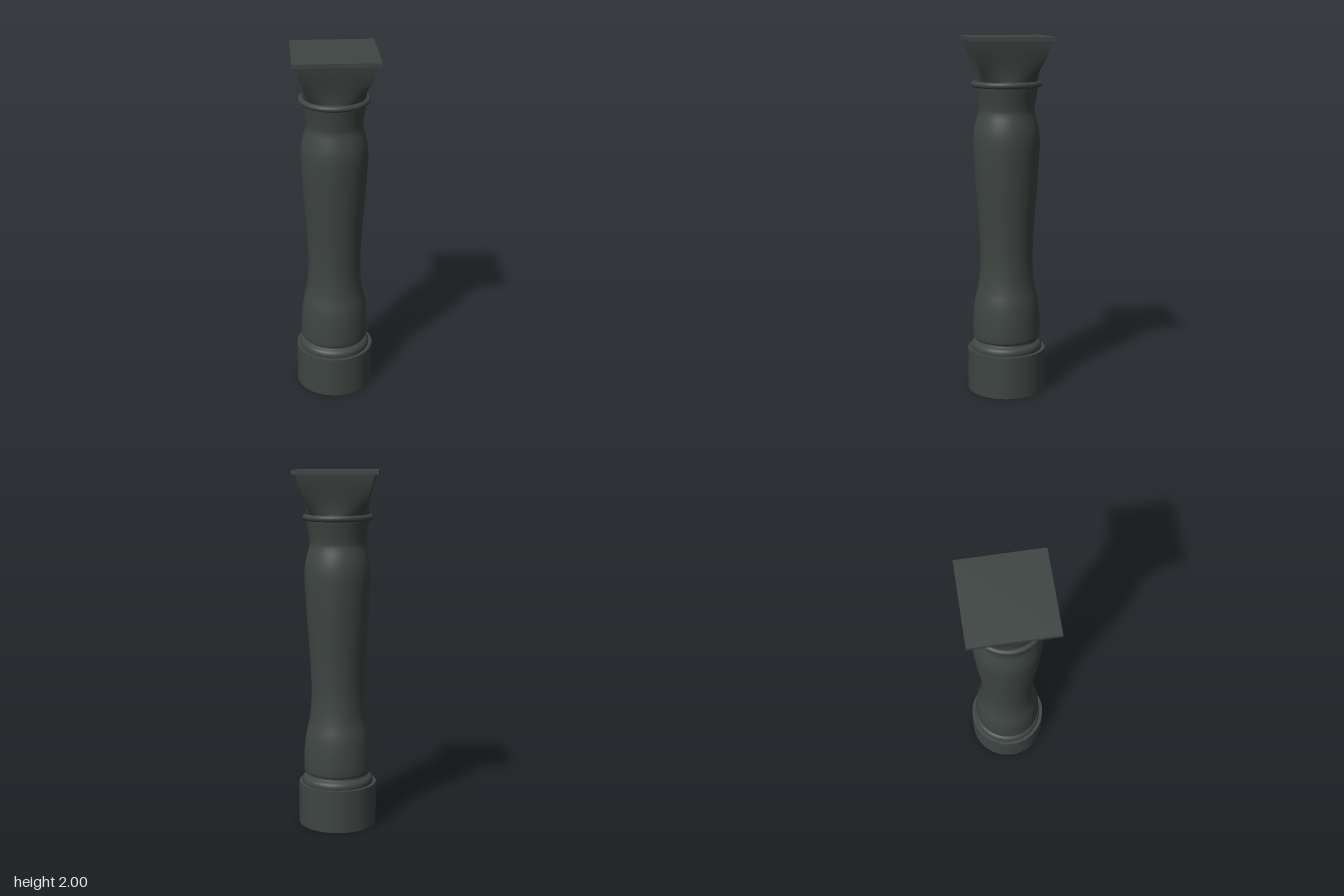
import * as THREE from 'three';

const V2 = (p) => new THREE.Vector2(p[0], p[1]);

export function createModel() {
  const group = new THREE.Group();
  const stone = new THREE.MeshStandardMaterial({ color: 0x3e4543, side: THREE.DoubleSide });
  stone.name = 'dark stone';

  const add = (name, geometry, parent = group) => {
    const mesh = new THREE.Mesh(geometry, stone);
    mesh.name = name;
    parent.add(mesh);
    return mesh;
  };
  // Turned part: straight segments, or a smooth curve through the points
  const turned = (name, pts, samples = 0) => {
    let p = pts.map(V2);
    if (samples) p = new THREE.SplineCurve(p).getPoints(samples);
    return add(name, new THREE.LatheGeometry(p, 64));
  };

  // Plinth, open underneath
  turned('plinth', [[0.22, 0], [0.22, 0.24]]);
  turned('plinthLedge', [[0.22, 0.24], [0.17, 0.24]]);

  // Base moulding
  turned('baseMoulding', [[0.2, 0.24], [0.201, 0.255], [0.196, 0.27], [0.184, 0.28], [0.174, 0.286], [0.172, 0.298]], 20);

  // Shaft with swelling foot, narrow waist, shoulder and neck
  turned('shaft', [
    [0.172, 0.298], [0.184, 0.302], [0.19, 0.315], [0.191, 0.36], [0.188, 0.44], [0.179, 0.52],
    [0.163, 0.59], [0.153, 0.66], [0.148, 0.75], [0.15, 0.85], [0.156, 0.97], [0.17, 1.15],
    [0.182, 1.34], [0.185, 1.42], [0.181, 1.48], [0.171, 1.53], [0.158, 1.58], [0.156, 1.61],
    [0.164, 1.67], [0.174, 1.73], [0.172, 1.765],
  ], 110);

  // Collar ring
  const collar = add('collarRing', new THREE.TorusGeometry(0.178, 0.017, 12, 64));
  collar.rotation.x = Math.PI / 2;
  collar.position.y = 1.742;

  // Capital: four flared panels, round at the bottom and square at the top
  const capital = new THREE.Group();
  capital.name = 'capital';
  group.add(capital);
  const corner = new THREE.SplineCurve([[0.121, 1.75], [0.15, 1.81], [0.178, 1.87], [0.199, 1.93], [0.21, 1.98]].map(V2));
  const middle = new THREE.SplineCurve([[0.171, 1.75], [0.175, 1.81], [0.186, 1.87], [0.2, 1.93], [0.21, 1.98]].map(V2));
  const panel = new THREE.PlaneGeometry(2, 1, 20, 20);
  const pos = panel.attributes.position;
  const c45 = Math.SQRT1_2;
  for (let i = 0; i < pos.count; i++) {
    const a = pos.getX(i) * Math.PI / 4;
    const v = Math.min(1, Math.max(0, pos.getY(i) + 0.5));
    const c = corner.getPoint(v), m = middle.getPoint(v);
    const bulge = (Math.cos(a) - c45) / (1 - c45);
    // the angular spacing keeps the lower edge circular
    pos.setXYZ(i, c.x * Math.sin(a) / c45, c.y, c.x + (m.x - c.x) * bulge);
  }
  panel.computeVertexNormals();
  for (let k = 0; k < 4; k++) add('capitalPanel', panel, capital).rotation.y = k * Math.PI / 2;

  // Square top slab
  add('abacus', new THREE.BoxGeometry(0.46, 0.022, 0.46)).position.y = 1.989;

  return group;
}
